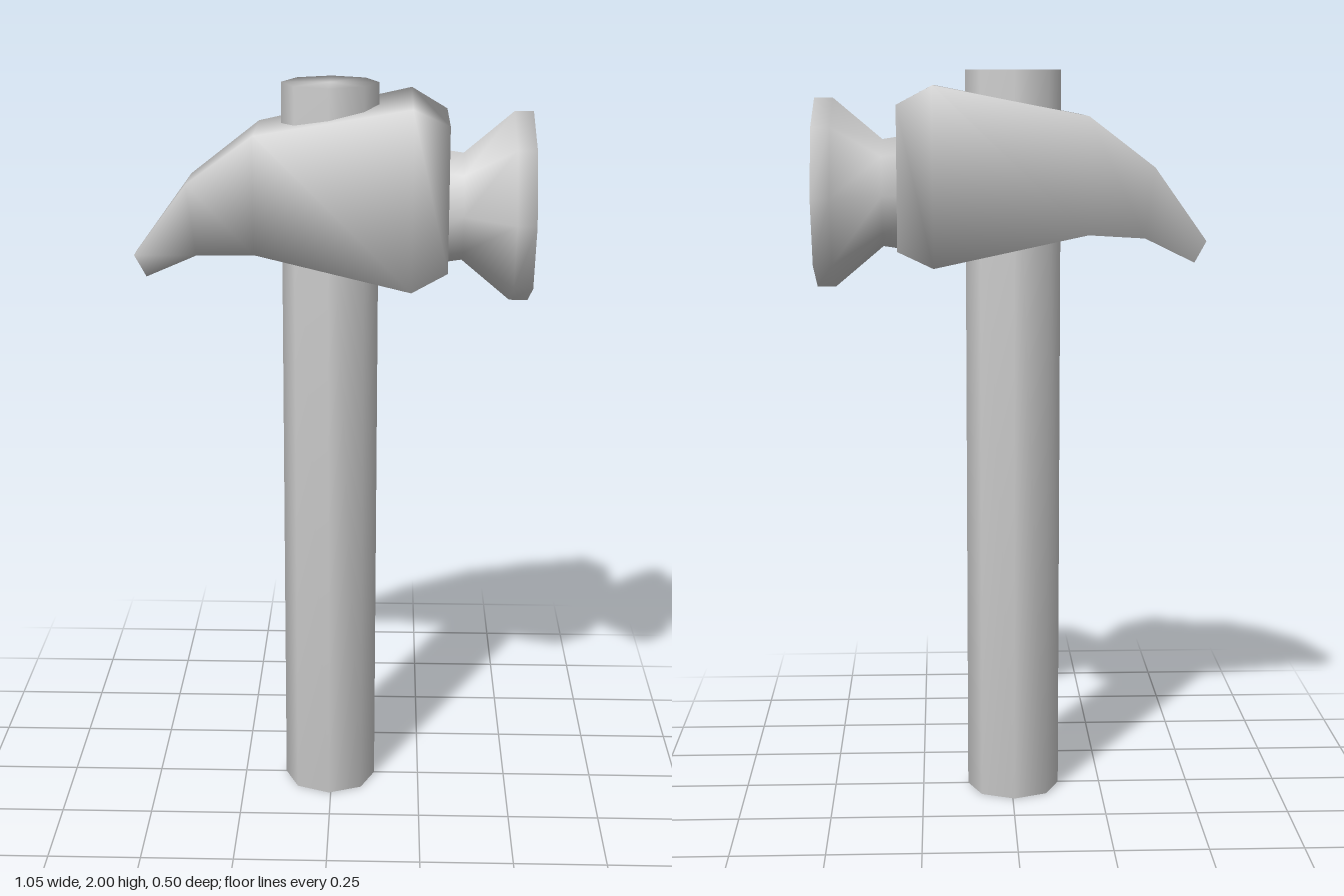
import * as THREE from 'three';

const SIDES = 8;

// Smooth octagonal solid of revolution about y; profile is [radius, height]
function turned(profile) {
  return new THREE.LatheGeometry(profile.map(([r, h]) => new THREE.Vector2(r, h)), SIDES);
}

// Loft of four-cornered sections along x, with both ends closed
function loft(sections) {
  const positions = [], index = [];
  for (const { top, bottom, half } of sections) {
    positions.push(
      ...top, half, ...bottom, half,
      ...bottom, -half, ...top, -half
    );
  }
  for (let s = 0; s < sections.length - 1; s++) {
    for (let i = 0; i < 4; i++) {
      const a = s * 4 + i, b = s * 4 + (i + 1) % 4;
      index.push(a, b, b + 4, a, b + 4, a + 4);
    }
  }
  const e = (sections.length - 1) * 4;
  index.push(0, 2, 1, 0, 3, 2, e, e + 1, e + 2, e, e + 2, e + 3);
  const geometry = new THREE.BufferGeometry();
  geometry.setAttribute('position', new THREE.Float32BufferAttribute(positions, 3));
  geometry.setIndex(index);
  geometry.computeVertexNormals();
  return geometry;
}

export function createModel() {
  const group = new THREE.Group();
  group.name = 'hammer';
  const grey = new THREE.MeshStandardMaterial({ color: 0xcccccc });
  grey.name = 'light grey';

  const add = (name, geometry) => {
    const mesh = new THREE.Mesh(geometry, grey);
    mesh.name = name;
    group.add(mesh);
    return mesh;
  };

  // Straight handle running right through the head
  const handle = add('handle', turned([[0, 0], [0.128, 0], [0.128, 2], [0, 2]]));
  handle.position.x = -0.005;

  // Head tapering from the thick cheek to the drooping claw tip
  add('headAndClaw', loft([
    { top: [-0.527, 1.545], bottom: [-0.495, 1.487], half: 0.03 },
    { top: [-0.38, 1.745], bottom: [-0.355, 1.557], half: 0.083 },
    { top: [-0.2, 1.88], bottom: [-0.2, 1.57], half: 0.133 },
    { top: [0.21, 1.96], bottom: [0.21, 1.49], half: 0.21 },
    { top: [0.305, 1.91], bottom: [0.305, 1.53], half: 0.16 },
  ]));

  // Neck flaring to the striking face, turned about x
  const poll = add('strikingFace', turned([
    [0, 0.12], [0.177, 0.12], [0.143, 0.345],
    [0.252, 0.475], [0.252, 0.525], [0.21, 0.525], [0, 0.525],
  ]));
  poll.rotation.z = -Math.PI / 2;
  poll.position.y = 1.675;

  return group;
}
